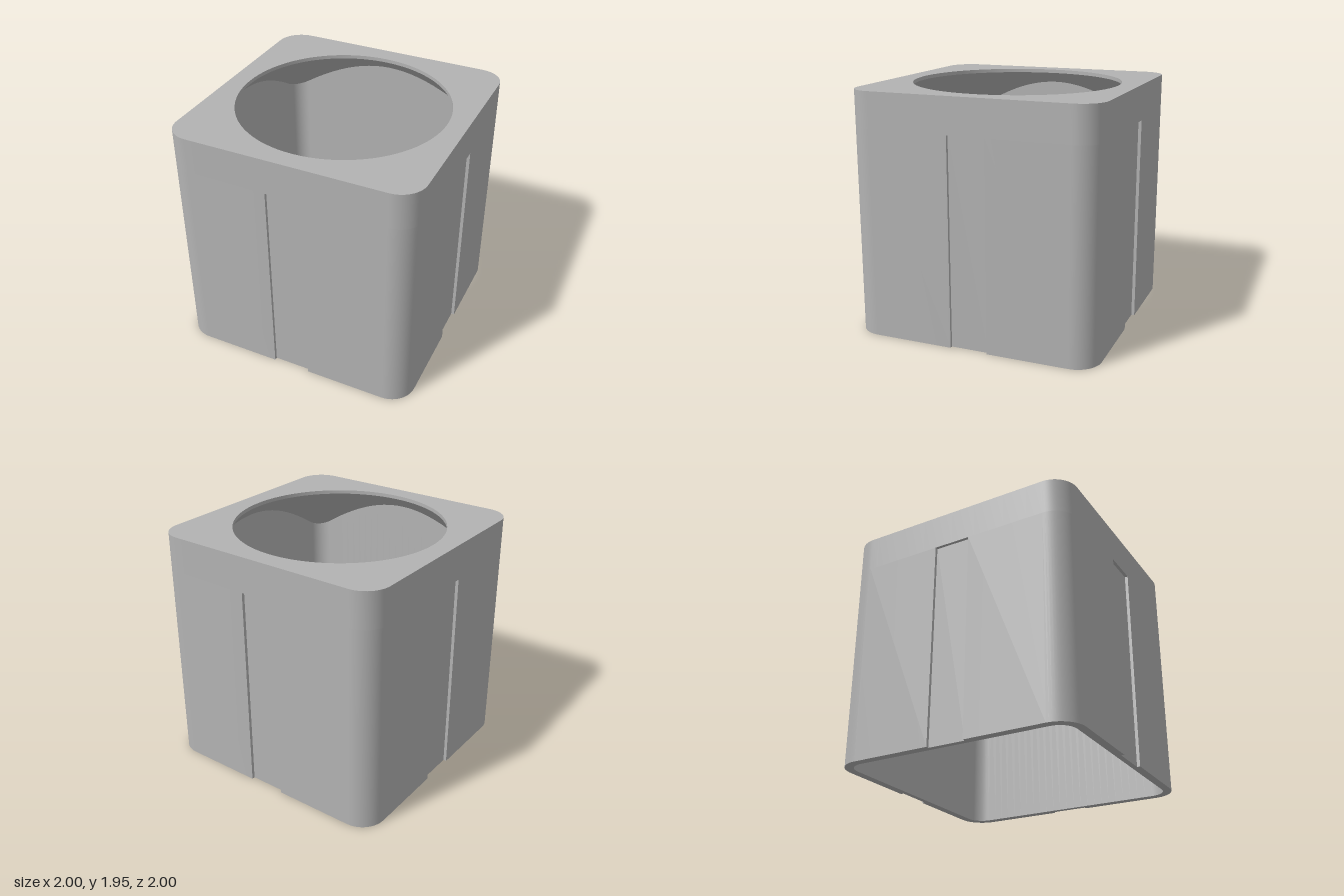
import * as THREE from 'three';
import { toCreasedNormals } from 'three/addons/utils/BufferGeometryUtils.js';

const HEIGHT = 1.95, SLOT_TOP = 1.665, SLOT_HALF = 0.152, SLOT_DEPTH = 0.025;
const HOLE = 0.842, LIP_Y = 1.92;

// Rounded square in plan, counter-clockwise seen from above, with an optional notch in each side
function outline(half, radius, notched) {
  const pts = [], c = half - radius, steps = 24, arc = 14;
  for (let k = 0; k < 4; k++) {
    const side = [];
    if (notched) {
      const d = half - SLOT_DEPTH;
      side.push([half, -c], [half, -SLOT_HALF], [d, -SLOT_HALF], [d, SLOT_HALF], [half, SLOT_HALF]);
    } else {
      for (let i = 0; i < steps; i++) side.push([half, -c + (2 * c * i) / steps]);
    }
    for (let i = 0; i < arc; i++) {
      const a = (i / arc) * Math.PI / 2;
      side.push([c + radius * Math.cos(a), c + radius * Math.sin(a)]);
    }
    const turn = k * Math.PI / 2;
    for (const [u, v] of side) {
      pts.push(new THREE.Vector2(u, v).rotateAround(new THREE.Vector2(), turn));
    }
  }
  return pts;
}

// Lift a plan outline to 3D; y may be a number or a function of the plan point
const lift = (pts, y) => pts.map(p => new THREE.Vector3(p.x, typeof y === 'function' ? y(p) : y, -p.y));

// Closed band of faces between two loops
function band(a, b) {
  const n = a.length, index = [];
  for (let i = 0; i < n; i++) {
    const j = (i + 1) % n;
    index.push(i, j, n + i, j, n + j, n + i);
  }
  const geo = new THREE.BufferGeometry().setFromPoints([...a, ...b]);
  geo.setIndex(index);
  geo.computeVertexNormals();
  return toCreasedNormals(geo, Math.PI / 6);
}

// Flat face with a hole
function plate(outer, inner) {
  const shape = new THREE.Shape(outer);
  shape.holes.push(new THREE.Path(inner));
  return new THREE.ShapeGeometry(shape);
}

export function createModel() {
  const group = new THREE.Group();
  const grey = new THREE.MeshStandardMaterial({ color: 0xb3b3b3 });
  grey.name = 'grey';
  const add = (name, geo) => {
    const mesh = new THREE.Mesh(geo, grey);
    mesh.name = name;
    group.add(mesh);
    return mesh;
  };

  const outer = outline(1, 0.2, false);
  const slotted = outline(1, 0.2, true);
  const inner = outline(0.932, 0.135, false);
  const hole = inner.map(p => p.clone().setLength(HOLE));

  // Outside walls: slotted below, plain above
  add('slottedWalls', band(lift(slotted, 0), lift(slotted, SLOT_TOP)));
  add('upperWalls', band(lift(outer, SLOT_TOP), lift(outer, HEIGHT)));

  // Ceiling of each slot
  for (let k = 0; k < 4; k++) {
    const geo = new THREE.PlaneGeometry(SLOT_DEPTH, SLOT_HALF * 2).rotateX(Math.PI / 2);
    geo.translate(1 - SLOT_DEPTH / 2, SLOT_TOP, 0).rotateY(k * Math.PI / 2);
    add('slotCeiling', geo);
  }

  // Top face with round opening, and bottom rim
  add('topFace', plate(outer, hole).rotateX(-Math.PI / 2).translate(0, HEIGHT, 0));
  add('bottomRim', plate(slotted, inner).rotateX(Math.PI / 2));

  // Inside: thin lip, 45 degree cone running out to the walls, square cavity
  const coneY = p => LIP_Y - (p.length() - HOLE);
  add('openingLip', band(lift(hole, HEIGHT), lift(hole, LIP_Y)));
  add('conicalUnderside', band(lift(hole, LIP_Y), lift(inner, coneY)));
  add('innerWalls', band(lift(inner, coneY), lift(inner, 0)));

  return group;
}
